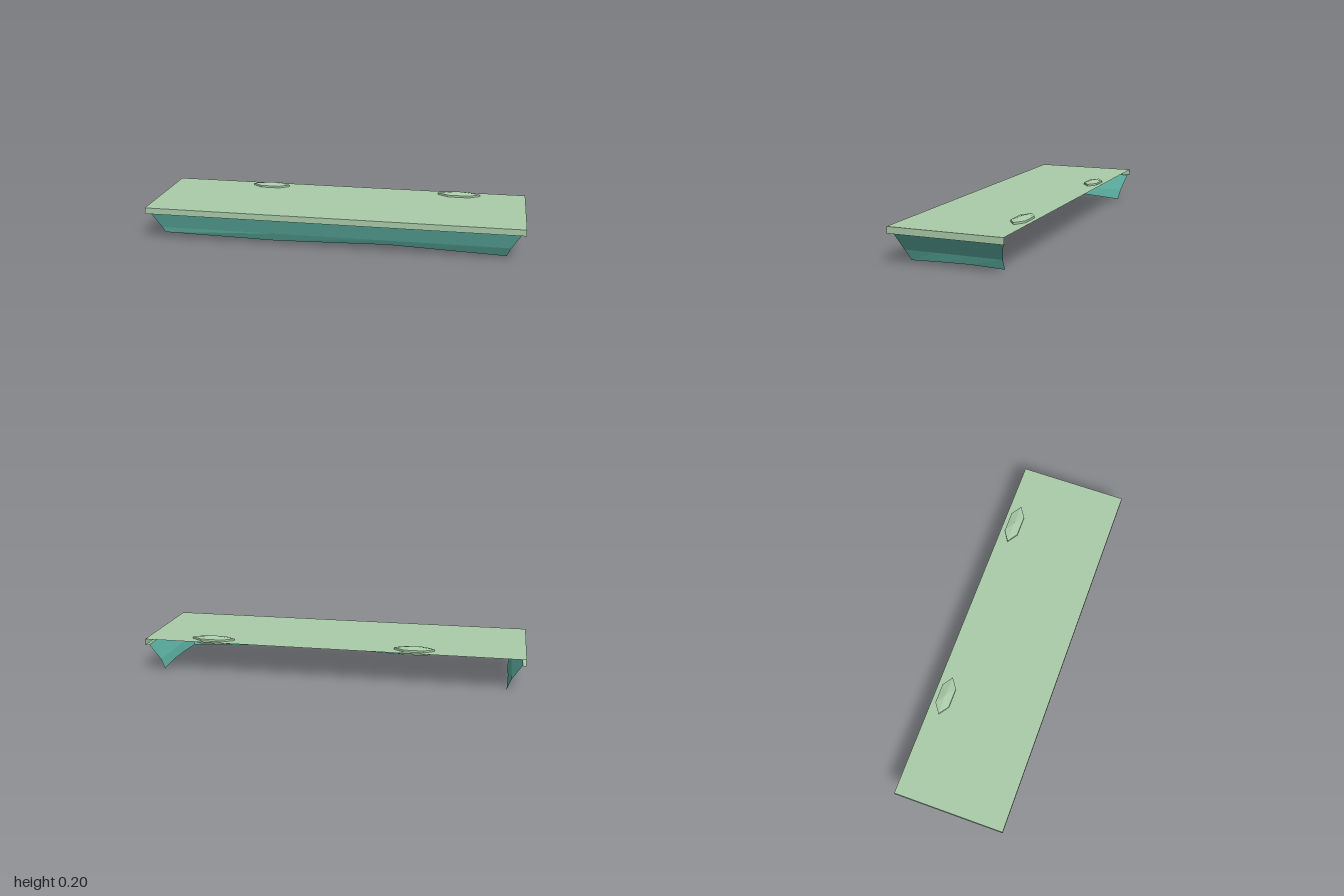
import * as THREE from 'three';

const green = new THREE.MeshStandardMaterial({ color: 0xabcdaa, side: THREE.DoubleSide, flatShading: true });
green.name = 'pale green';
const teal = new THREE.MeshStandardMaterial({ color: 0x5cb0a2, side: THREE.DoubleSide, flatShading: true });
teal.name = 'teal';

// Open strip of quads between columns of points listed from bottom to top.
function strip(columns) {
  const points = [];
  for (let i = 0; i + 1 < columns.length; i++) {
    for (let r = 0; r + 1 < columns[i].length; r++) {
      const a = columns[i][r], b = columns[i + 1][r], c = columns[i + 1][r + 1], d = columns[i][r + 1];
      points.push(...a, ...b, ...c, ...a, ...c, ...d);
    }
  }
  const geometry = new THREE.BufferGeometry();
  geometry.setAttribute('position', new THREE.Float32BufferAttribute(points, 3));
  geometry.computeVertexNormals();
  return geometry;
}

function add(parent, name, geometry, material) {
  const mesh = new THREE.Mesh(geometry, material);
  mesh.name = name;
  parent.add(mesh);
  return mesh;
}

// Flat tapered hexagonal stone with a low peak, lower rim sunk into the slab.
function makeStone(name, x, halfLength) {
  const stone = new THREE.Group();
  stone.name = name;
  const base = 0.168, rim = 0.193, peak = 0.205;
  const side = new THREE.CylinderGeometry(1, 1, rim - base, 6, 1, true, Math.PI / 6);
  const cap = new THREE.ConeGeometry(1, peak - rim, 6, 1, true, Math.PI / 6);
  add(stone, 'stoneSide', side, green).position.y = (base + rim) / 2;
  add(stone, 'stoneTop', cap, green).position.y = (rim + peak) / 2;
  stone.position.set(x, 0, -0.2305);
  stone.scale.set(halfLength, 1, 0.0433);
  return stone;
}

export function createModel() {
  const model = new THREE.Group();
  model.name = 'ledge';

  // Grassy slab: top sheet, with a rim and small lip on three sides, open at the back
  const top = 0.183, under = 0.15, halfZ = 0.292;
  const sheet = new THREE.PlaneGeometry(2, halfZ * 2).rotateX(-Math.PI / 2).translate(0, top, 0);
  add(model, 'slabTop', sheet, green);
  const rimPath = [[-1, -halfZ, -0.982, -halfZ], [-1, halfZ, -0.982, 0.268], [1, halfZ, 0.982, 0.268], [1, -halfZ, 0.982, -halfZ]];
  const rim = rimPath.map(([x, z, ix, iz]) => [[ix, under, iz], [x, under, z], [x, top, z]]);
  add(model, 'slabRim', strip(rim), green);

  // Ragged skirt: x, z at the top; x, z at the middle; x, y, z at the lower edge
  const skirt = [
    [-0.982, -0.282, -0.93, -0.256, -0.91, 0.005, -0.243],
    [-0.982, -0.03, -0.93, -0.03, -0.915, 0.02, -0.03],
    [-0.982, 0.07, -0.93, 0.07, -0.91, 0, 0.07],
    [-0.982, 0.268, -0.93, 0.241, -0.915, 0.033, 0.236],
    [-0.3, 0.268, -0.3, 0.241, -0.3, 0.018, 0.222],
    [0.3, 0.268, 0.3, 0.241, 0.3, 0.036, 0.228],
    [0.982, 0.268, 0.93, 0.241, 0.91, 0.01, 0.215],
    [0.982, 0.075, 0.93, 0.075, 0.915, 0.017, 0.058],
    [0.982, -0.09, 0.93, -0.09, 0.915, 0.02, -0.09],
    [0.982, -0.282, 0.93, -0.256, 0.91, 0.013, -0.258],
  ].map(([tx, tz, mx, mz, bx, by, bz]) => [[bx, by, bz], [mx, 0.063, mz], [tx, under, tz]]);
  add(model, 'skirt', strip(skirt), teal);

  // Two stones near the back edge
  model.add(makeStone('rightStone', -0.435, 0.105), makeStone('leftStone', 0.637, 0.115));
  return model;
}
